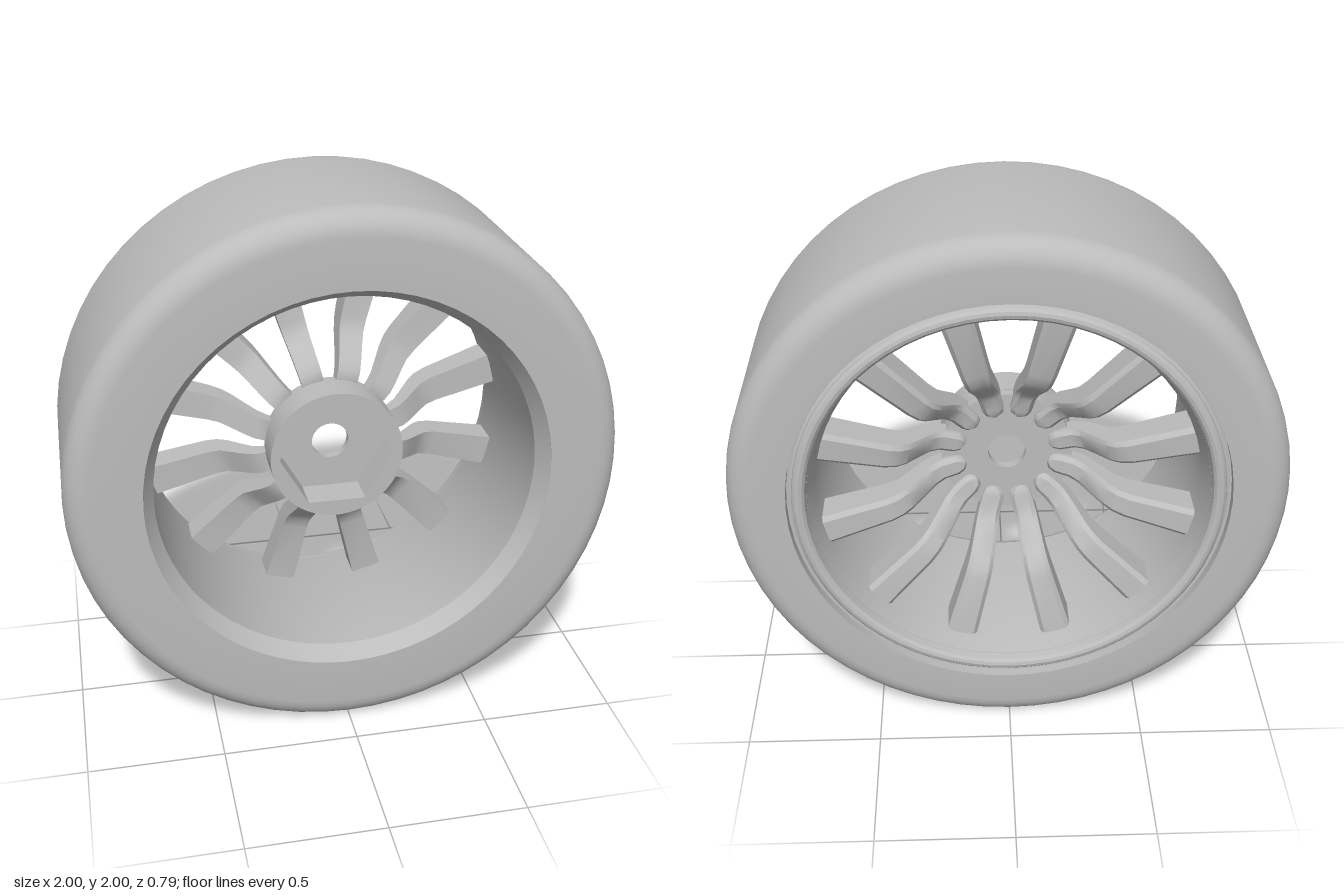
import * as THREE from 'three';
import { toCreasedNormals } from 'three/addons/utils/BufferGeometryUtils.js';

const grey = new THREE.MeshStandardMaterial({ color: 0xbcbcbc });
grey.name = 'plain grey';

function part(name, geometry) {
  const mesh = new THREE.Mesh(geometry, grey);
  mesh.name = name;
  return mesh;
}

// Solid of revolution around z from a closed [radius, z] profile
function ring(name, profile, segments, crease = 0.5) {
  const points = profile.map(([r, z]) => new THREE.Vector2(r, z));
  points.push(points[0].clone());
  const geo = new THREE.LatheGeometry(points, segments).rotateX(Math.PI / 2);
  return part(name, toCreasedNormals(geo, crease));
}

// Rounded profile corner
function arc(r, z, radius, from, to, steps = 6) {
  return Array.from({ length: steps + 1 }, (_, i) => {
    const a = from + (to - from) * i / steps;
    return [r + radius * Math.cos(a), z + radius * Math.sin(a)];
  });
}

// Plate with a hole, spanning z0 to z1
function plate(name, radius, hole, z0, z1) {
  const shape = new THREE.Shape().absarc(0, 0, radius, 0, Math.PI * 2);
  shape.holes.push(hole);
  const geo = new THREE.ExtrudeGeometry(shape, { depth: z1 - z0, bevelEnabled: false, curveSegments: 32 });
  return part(name, toCreasedNormals(geo.translate(0, 0, z0), 0.5));
}

// S-shaped spoke running along +x, with chamfered rear edges
function spokeGeometry() {
  // radius, front z, back z, half width
  const stations = [
    [0.160, -0.020, -0.045, 0.018], [0.172, -0.020, -0.055, 0.032], [0.195, -0.015, -0.062, 0.040],
    [0.250, 0.000, -0.070, 0.041], [0.285, -0.008, -0.095, 0.042], [0.320, -0.035, -0.140, 0.043],
    [0.370, -0.085, -0.205, 0.045], [0.405, -0.118, -0.235, 0.047], [0.450, -0.132, -0.252, 0.049],
    [0.705, -0.145, -0.282, 0.058],
  ];
  const rings = stations.map(([r, f, b, w]) => {
    const c = 0.016;
    return [[-w, b + c], [c - w, b], [w - c, b], [w, b + c], [w, f], [-w, f]].map(([y, z]) => [r, y, z]);
  });
  const pos = [];
  const tri = (...corners) => corners.forEach((p) => pos.push(...p));
  for (let i = 0; i < rings.length - 1; i++) {
    for (let j = 0; j < 6; j++) {
      const k = (j + 1) % 6;
      tri(rings[i][j], rings[i][k], rings[i + 1][k]);
      tri(rings[i][j], rings[i + 1][k], rings[i + 1][j]);
    }
  }
  const first = rings[0], last = rings[rings.length - 1];
  for (let j = 1; j < 5; j++) {
    tri(first[0], first[j + 1], first[j]);
    tri(last[0], last[j], last[j + 1]);
  }
  const geo = new THREE.BufferGeometry();
  geo.setAttribute('position', new THREE.Float32BufferAttribute(pos, 3));
  return toCreasedNormals(geo, 0.55);
}

export function createModel() {
  const wheel = new THREE.Group();
  wheel.name = 'wheel';
  const body = new THREE.Group();
  body.name = 'wheelBody';
  body.position.y = 1;
  wheel.add(body);

  // Tyre with rounded shoulders
  body.add(ring('tyre', [
    ...arc(0.91, -0.305, 0.09, -Math.PI / 2, 0),
    ...arc(0.91, 0.305, 0.09, 0, Math.PI / 2),
    [0.73, 0.395], [0.715, 0.33], [0.715, -0.35], [0.785, -0.36], [0.785, -0.395],
  ], 64));

  // Rim barrel, chamfered at the front and with a rounded bead at the back
  body.add(ring('rim', [
    [0.73, 0.394], [0.69, 0.33], [0.69, -0.28], [0.715, -0.345],
    ...arc(0.742, -0.365, 0.025, Math.PI, Math.PI * 2),
    [0.775, -0.36], [0.775, -0.33], [0.74, -0.3], [0.74, 0.3],
  ], 64));

  // Hub: rear disc with axle hole, front collar with hexagonal pocket
  const axleHole = new THREE.Path().absarc(0, 0, 0.07, 0, Math.PI * 2, true);
  body.add(plate('hubDisc', 0.245, axleHole, -0.035, 0));
  const hexagon = new THREE.Path(Array.from({ length: 6 }, (_, i) => {
    const a = -i * Math.PI / 3;
    return new THREE.Vector2(0.215 * Math.cos(a), 0.215 * Math.sin(a));
  }));
  body.add(plate('hubCollar', 0.248, hexagon, 0, 0.13));

  // Twelve spokes
  const spokeGeo = spokeGeometry();
  for (let i = 0; i < 12; i++) {
    const spoke = part('spoke', spokeGeo);
    spoke.rotation.z = Math.PI / 12 + i * Math.PI / 6;
    body.add(spoke);
  }
  return wheel;
}
